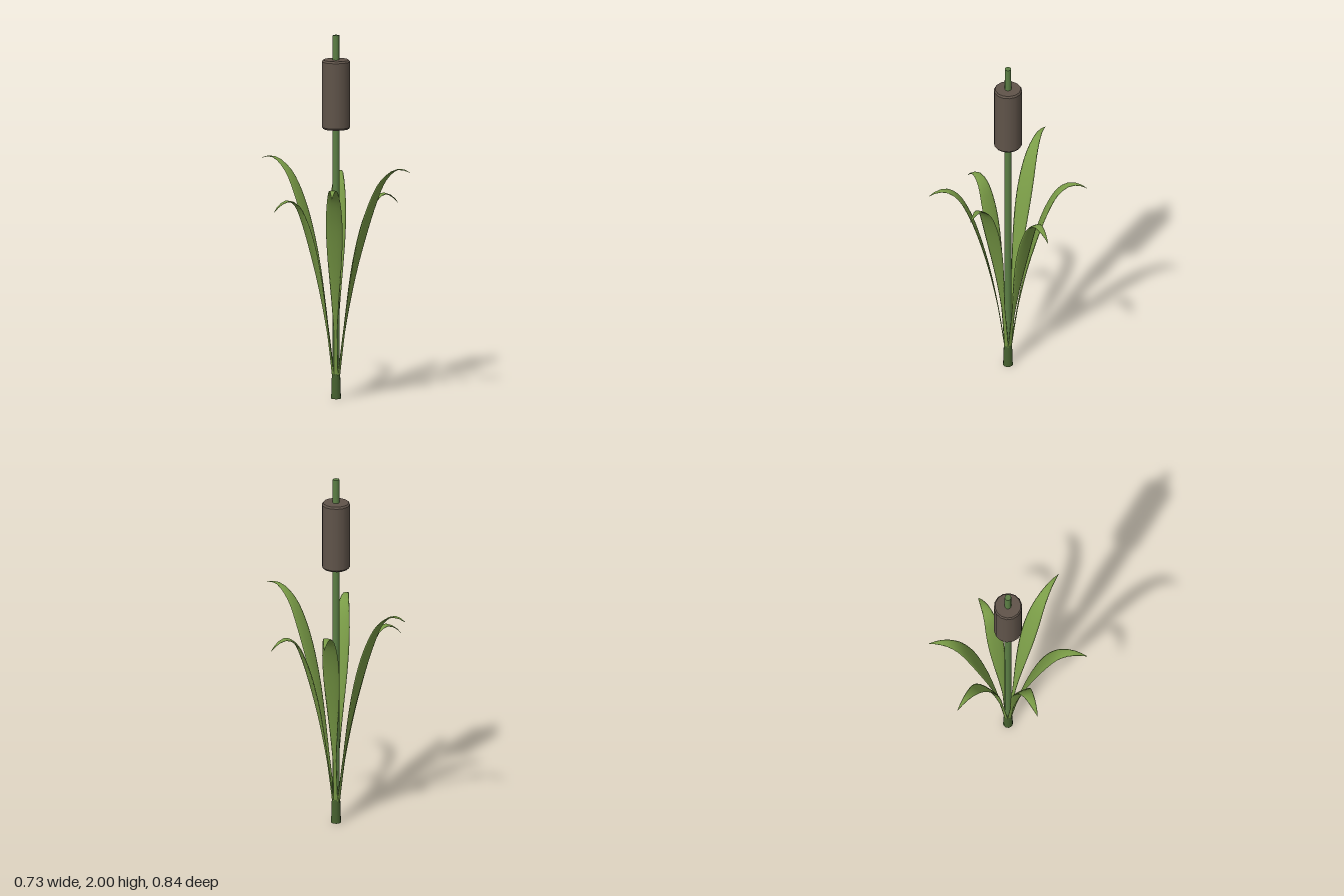
import * as THREE from 'three';

const mat = (name, color) => {
  const m = new THREE.MeshStandardMaterial({ color });
  m.name = name;
  return m;
};

// Thin lens-shaped blade swept along a curve of [outward, up] points, turned to an angle about y
function bladeGeometry(points, angle) {
  const out = new THREE.Vector3(Math.cos(angle), 0, -Math.sin(angle));
  const side = new THREE.Vector3(Math.sin(angle), 0, Math.cos(angle));
  const curve = new THREE.CatmullRomCurve3(
    points.map(([r, y]) => out.clone().multiplyScalar(r).setY(y)));
  const rows = 36, sides = 10, pos = [], index = [];
  for (let i = 0; i <= rows; i++) {
    const t = i / rows;
    const c = curve.getPointAt(t);
    const normal = curve.getTangentAt(t).cross(side).normalize();
    // narrow at the base, widest near the bend, pointed at the tip
    const w = 0.001 + Math.max(0.012 * (1 - t), 0.044 * Math.sin(Math.PI * Math.pow(t, 1.95)));
    const h = Math.min(w, 0.001 + 0.13 * w);
    for (let j = 0; j < sides; j++) {
      const a = (j / sides) * Math.PI * 2;
      const p = c.clone()
        .addScaledVector(side, w * Math.cos(a))
        .addScaledVector(normal, h * Math.sin(a));
      pos.push(p.x, p.y, p.z);
      if (i < rows) {
        const k = (j + 1) % sides, A = i * sides, B = A + sides;
        index.push(A + j, A + k, B + j, A + k, B + k, B + j);
      }
    }
  }
  const g = new THREE.BufferGeometry();
  g.setAttribute('position', new THREE.Float32BufferAttribute(pos, 3));
  g.setIndex(index);
  g.computeVertexNormals();
  return g;
}

export function createModel() {
  const group = new THREE.Group();
  const stemGreen = mat('stem green', 0x5c7f45);
  const baseGreen = mat('base green', 0x46612f);
  const leafGreen = mat('leaf green', 0x7a9c47);
  const brown = mat('seed head brown', 0x60544a);
  const add = (name, geometry, material, y = 0) => {
    const m = new THREE.Mesh(geometry, material);
    m.name = name;
    m.position.y = y;
    group.add(m);
  };

  // Stem running through the seed head to a bare tip
  add('stem', new THREE.CylinderGeometry(0.018, 0.02, 2, 12), stemGreen, 1);

  // Sheath that gathers the leaves at the foot
  add('sheath', new THREE.CylinderGeometry(0.022, 0.027, 0.16, 12), baseGreen, 0.08);

  // Seed head with slightly bevelled rims
  const profile = [[0, 1.485], [0.07, 1.485], [0.07, 1.485], [0.077, 1.495], [0.077, 1.495],
    [0.077, 1.855], [0.077, 1.855], [0.07, 1.865], [0.07, 1.865], [0, 1.865]]
    .map(([r, y]) => new THREE.Vector2(r, y));
  add('seedHead', new THREE.LatheGeometry(profile, 14), brown);

  // Three leaf lengths, each used twice on opposite sides
  const leaves = [
    [[0.008, 0.05], [0.055, 0.4], [0.115, 0.72], [0.19, 0.98], [0.24, 1.08], [0.29, 1.108], [0.34, 1.09], [0.379, 1.05]],
    [[0.008, 0.05], [0.06, 0.43], [0.125, 0.75], [0.21, 1.03], [0.28, 1.16], [0.34, 1.197], [0.39, 1.19], [0.43, 1.165]],
    [[0.008, 0.05], [0.065, 0.45], [0.14, 0.8], [0.235, 1.09], [0.31, 1.23], [0.39, 1.293], [0.44, 1.297], [0.48, 1.285]],
  ];
  for (let i = 0; i < 6; i++) {
    const angle = THREE.MathUtils.degToRad(17.2 + 60 * i);
    add('leaf' + (i + 1), bladeGeometry(leaves[i % 3], angle), leafGreen);
  }
  return group;
}
